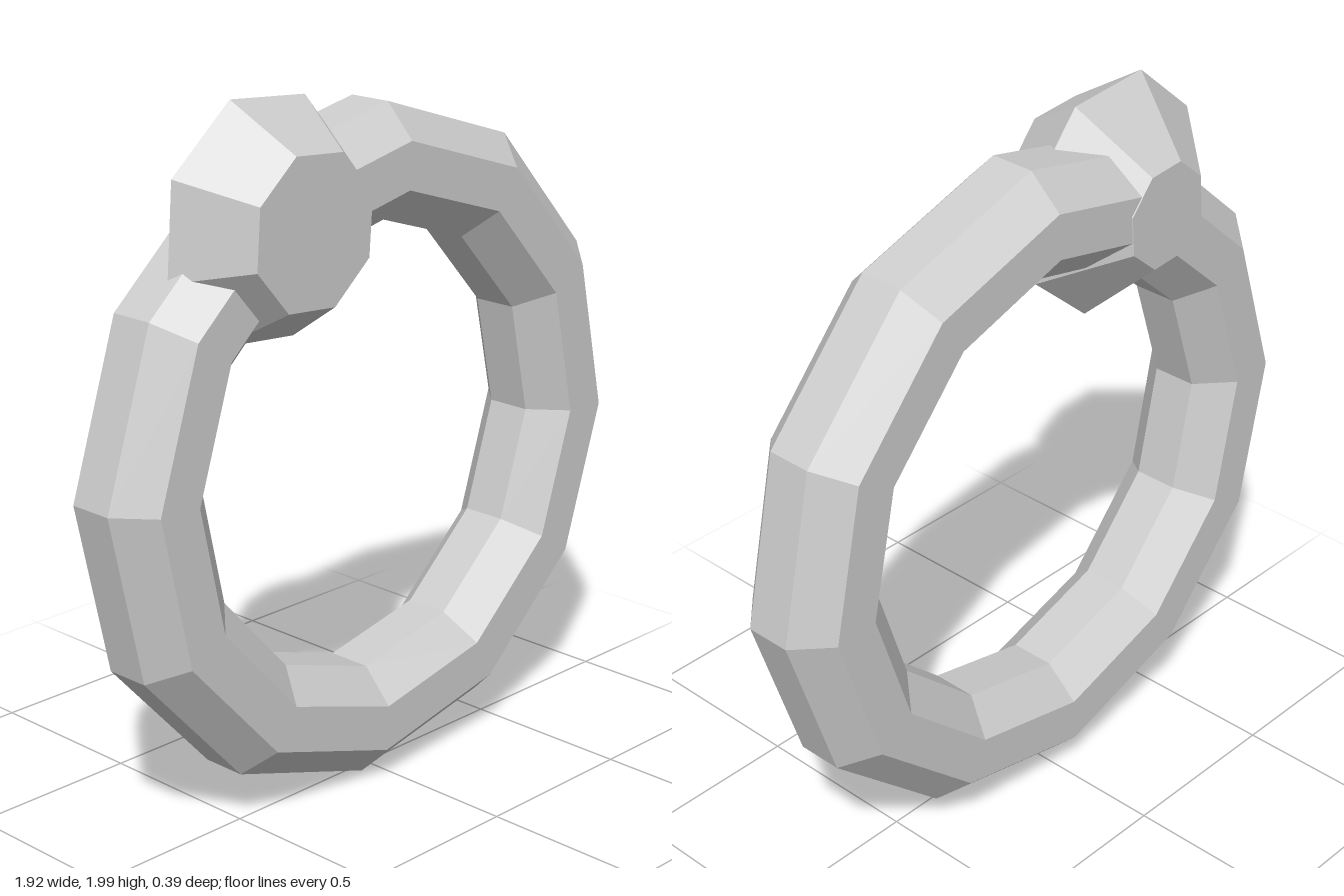
import * as THREE from 'three';

const DEG = Math.PI / 180;

// Faceted solid of revolution about the z axis; profile points are [radius, z].
function facetedLathe(profile, sides, startAngle) {
  const points = profile.map(([r, z]) => new THREE.Vector2(r, z));
  const lathe = new THREE.LatheGeometry(points, sides, (startAngle + 90) * DEG);
  lathe.rotateX(Math.PI / 2);
  const geometry = lathe.toNonIndexed();
  geometry.computeVertexNormals();
  return geometry;
}

export function createModel() {
  const model = new THREE.Group();
  model.name = 'ring';

  const grey = new THREE.MeshStandardMaterial({ color: 0xcccccc });
  grey.name = 'light grey';

  // Twelve-sided band with a regular octagonal section
  const apothem = 0.16;
  const section = [];
  for (let i = 0; i <= 8; i++) {
    const a = (-22.5 + 45 * i) * DEG;
    const r = apothem / Math.cos(22.5 * DEG);
    section.push([0.802 + r * Math.cos(a), r * Math.sin(a)]);
  }
  const band = new THREE.Mesh(facetedLathe(section, 12, -3), grey);
  band.name = 'band';
  band.position.set(0, 0.961, -0.034);
  model.add(band);

  // Eight-sided cut stone: small back facet, wide girdle, flat front table
  const cut = [[0, -0.196], [0.152, -0.196], [0.346, 0], [0.217, 0.197], [0, 0.197]];
  const stone = new THREE.Mesh(facetedLathe(cut, 8, 18), grey);
  stone.name = 'stone';
  stone.position.set(-0.385, 1.666, 0);
  model.add(stone);

  return model;
}
